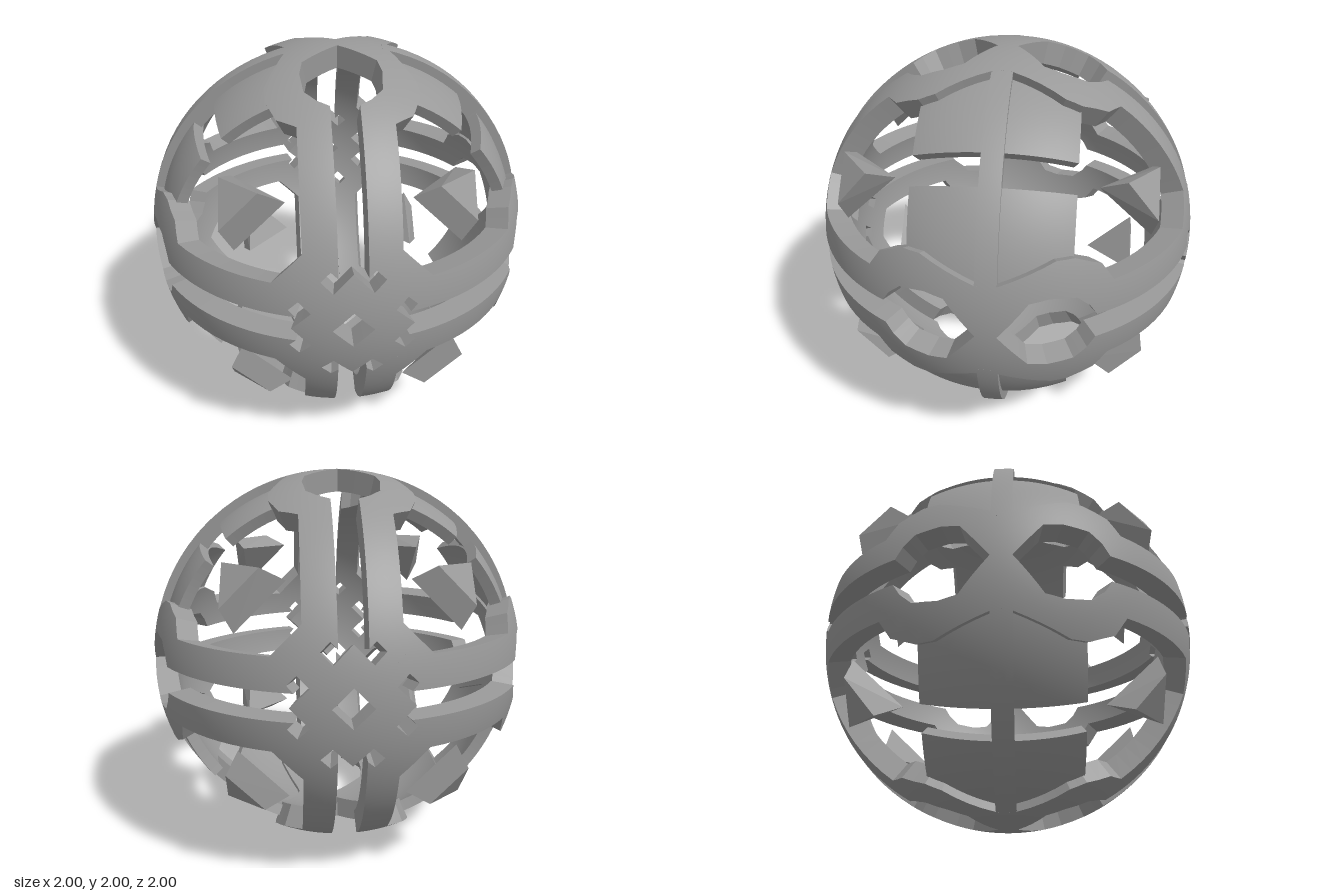
import * as THREE from 'three';
import { ConvexGeometry } from 'three/addons/geometries/ConvexGeometry.js';

const STEP = 0.075;
const material = new THREE.MeshStandardMaterial({ color: 0x999999 });

// Patch coordinates: t = offset across a great circle, s = angle along it.
const onSphere = ([t, s]) => {
  const rho = Math.sqrt(1 - t * t);
  return new THREE.Vector3(t, rho * Math.sin(s), rho * Math.cos(s));
};
const fromHub = (t, y) => [t, Math.asin(y / Math.sqrt(1 - t * t))];
const fromPole = (t, z) => [t, Math.acos(z / Math.sqrt(1 - t * t))];
const mid = (a, b) => [(a[0] + b[0]) / 2, (a[1] + b[1]) / 2];
const dist = (a, b) => Math.hypot(a[0] - b[0], a[1] - b[1]);

// Completes a half outline (t >= 0) by mirroring it in t.
function mirrored(half) {
  const other = half.filter(p => p[0] > 0).map(([t, s]) => [-t, s]).reverse();
  return half.concat(other);
}

// Spherical slab between two radii, cut along an outline with holes.
function shellPatch(outline, holes, rIn, rOut) {
  const pos = [], nor = [];
  const addTriangle = (a, b, c, normals) => {
    const flat = b.clone().sub(a).cross(c.clone().sub(a)).normalize();
    [a, b, c].forEach((v, i) => {
      pos.push(v.x, v.y, v.z);
      nor.push(...(normals ? normals[i] : flat).toArray());
    });
  };
  const toV2 = ring => ring.map(p => new THREE.Vector2(p[0], p[1]));
  const orient = (ring, cw) =>
    THREE.ShapeUtils.isClockWise(toV2(ring)) === cw ? ring : ring.slice().reverse();
  const rings = [orient(outline, false), ...holes.map(h => orient(h, true))];
  const points = rings.flat();

  // Skins: split the longest edge until the facets follow the sphere.
  const skin = (a, b, c) => {
    const lab = dist(a, b), lbc = dist(b, c), lca = dist(c, a);
    const longest = Math.max(lab, lbc, lca);
    if (longest > STEP) {
      if (lab < longest) {
        if (lbc === longest) skin(b, c, a);
        else skin(c, a, b);
        return;
      }
      const m = mid(a, b);
      skin(a, m, c);
      skin(m, b, c);
      return;
    }
    const n = [a, b, c].map(onSphere);
    const o = n.map(v => v.clone().multiplyScalar(rOut));
    const i = n.map(v => v.clone().multiplyScalar(rIn));
    addTriangle(o[0], o[1], o[2], n);
    addTriangle(i[0], i[2], i[1], [n[0], n[2], n[1]].map(v => v.clone().negate()));
  };
  for (const [i, j, k] of THREE.ShapeUtils.triangulateShape(toV2(rings[0]), rings.slice(1).map(toV2))) {
    const [a, b, c] = [points[i], points[j], points[k]];
    const area = (b[0] - a[0]) * (c[1] - a[1]) - (b[1] - a[1]) * (c[0] - a[0]);
    if (area > 0) skin(a, b, c);
    else skin(a, c, b);
  }

  // Radial walls along every outline.
  const wall = (a, b) => {
    if (dist(a, b) > STEP) {
      const m = mid(a, b);
      wall(a, m);
      wall(m, b);
      return;
    }
    const [A, B] = [onSphere(a), onSphere(b)];
    const [ai, bi] = [A, B].map(v => v.clone().multiplyScalar(rIn));
    const [ao, bo] = [A, B].map(v => v.clone().multiplyScalar(rOut));
    addTriangle(ai, bi, bo);
    addTriangle(ai, bo, ao);
  };
  for (const ring of rings) ring.forEach((p, i) => wall(p, ring[(i + 1) % ring.length]));

  const geometry = new THREE.BufferGeometry();
  geometry.setAttribute('position', new THREE.Float32BufferAttribute(pos, 3));
  geometry.setAttribute('normal', new THREE.Float32BufferAttribute(nor, 3));
  return geometry;
}

export function createModel() {
  const model = new THREE.Group();
  model.name = 'carvedSphere';
  const shell = new THREE.Group();
  shell.name = 'shell';
  shell.position.y = 1;
  model.add(shell);

  // Places a patch whose great circle runs from axis "start" towards "end".
  const place = (name, geometry, start, end) => {
    const mesh = new THREE.Mesh(geometry, material);
    mesh.name = name;
    const across = end.clone().cross(start);
    mesh.applyMatrix4(new THREE.Matrix4().makeBasis(across, end, start));
    shell.add(mesh);
  };

  // Strap: hub wedge, long double band, round eye at the far pole.
  // The hub edges overlap the neighbouring straps slightly to close the seams.
  const strapOutline = mirrored([
    fromHub(0, 0.095), fromHub(0.05, 0.045), fromHub(0.149, 0.143), fromHub(0.292, 0.288),
    fromHub(0.22, 0.36), fromPole(0.22, 0.56), fromPole(0.31, 0.5), fromPole(0.36, 0.38),
    fromPole(0.36, 0.3), fromPole(0.26, 0.05), fromPole(0.25, 0),
  ]);
  // Forked slot that opens into the eye.
  const strapSlot = mirrored([
    fromHub(0, 0.28), fromHub(0.09, 0.19), fromHub(0.145, 0.245), fromHub(0.1, 0.29),
    fromHub(0.067, 0.26), fromPole(0.067, 0.495), fromPole(0.125, 0.46), fromPole(0.18, 0.4),
    fromPole(0.194, 0.28), fromPole(0.178, 0.19), fromPole(0, 0.05),
  ]);
  const strap = shellPatch(strapOutline, [strapSlot], 0.885, 1);
  const panel = shellPatch(
    mirrored([[0, 0.25], [0.3, 0.33], [0.392, 0.37], [0.392, 0.703]]), [], 0.9, 0.957);
  const ridge = shellPatch(
    mirrored([[0.05, 0.23], [0.05, Math.PI / 2 - 0.23]]), [], 0.91, 1);

  // Wedge: wide inner triangle, narrower outer one.
  const wedge = new ConvexGeometry([
    [0.283, 0.522, 0.735], [0.522, 0.283, 0.735], [0.53, 0.53, 0.476],
    [0.4, 0.583, 0.754], [0.583, 0.4, 0.754], [0.588, 0.575, 0.6],
  ].map(p => new THREE.Vector3(...p)));

  const axes = [[1, 0], [0, 1], [-1, 0], [0, -1]].map(([x, y]) => new THREE.Vector3(x, y, 0));
  axes.forEach((axis, k) => {
    const next = axes[(k + 1) % 4], previous = axes[(k + 3) % 4];
    place('frontStrap', strap, new THREE.Vector3(0, 0, 1), axis);
    place('backStrap', strap, new THREE.Vector3(0, 0, -1), axis);
    place('panel', panel, axis, next);
    place('panel', panel, axis, previous);
    place('ridge', ridge, axis, next);

    // Floating wedges in the eight corner windows.
    for (const back of [false, true]) {
      const mesh = new THREE.Mesh(wedge, material);
      mesh.name = back ? 'backWedge' : 'frontWedge';
      if (back) mesh.rotateY(Math.PI);
      mesh.rotateZ(k * Math.PI / 2);
      shell.add(mesh);
    }
  });
  return model;
}
